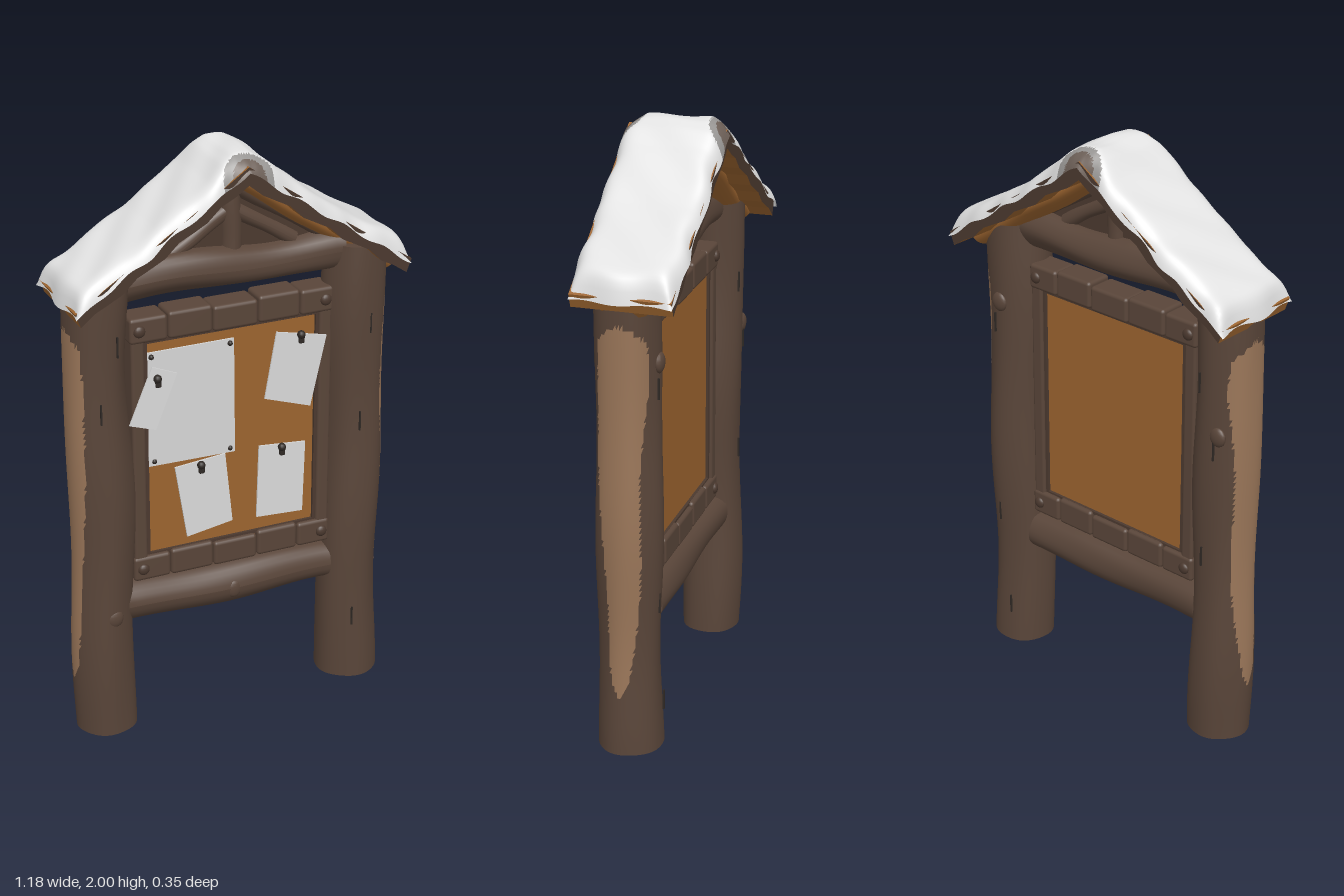
import * as THREE from 'three';
import { RoundedBoxGeometry } from 'three/addons/geometries/RoundedBoxGeometry.js';

const mat = (name, color, side = THREE.FrontSide) => {
  const m = new THREE.MeshStandardMaterial({ color, side });
  m.name = name;
  return m;
};

// piecewise curve through [x, y] points
function curveAt(points, x) {
  for (let i = 1; i < points.length; i++) {
    const [x0, y0] = points[i - 1], [x1, y1] = points[i];
    if (x <= x1) return y0 + ((y1 - y0) * (x - x0)) / (x1 - x0);
  }
  return points[points.length - 1][1];
}

// sort triangles into material groups by their centre
function splitFaces(geo, count, pick) {
  const p = geo.attributes.position, idx = geo.index.array;
  const lists = Array.from({ length: count }, () => []);
  const c = new THREE.Vector3(), v = new THREE.Vector3();
  for (let i = 0; i < idx.length; i += 3) {
    c.set(0, 0, 0);
    for (let k = 0; k < 3; k++) c.add(v.fromBufferAttribute(p, idx[i + k]));
    lists[pick(c.divideScalar(3))].push(idx[i], idx[i + 1], idx[i + 2]);
  }
  geo.setIndex(lists.flat());
  geo.clearGroups();
  let start = 0;
  lists.forEach((l, i) => { geo.addGroup(start, l.length, i); start += l.length; });
  return geo;
}

// uneven round log standing on the y axis, centred
function logGeometry(length, radius, seed, wobble = 0.06, around = 28, rows = 24) {
  const geo = new THREE.CylinderGeometry(radius, radius, length, around, rows);
  const p = geo.attributes.position;
  for (let i = 0; i < p.count; i++) {
    const x = p.getX(i), y = p.getY(i), z = p.getZ(i), a = Math.atan2(z, x);
    const t = y / radius;
    const k = 1 + wobble * (0.5 * Math.sin(t * 0.9 + seed) + 0.4 * Math.sin(2 * a + t * 0.6 + seed * 2)
      + 0.25 * Math.sin(5 * a + seed + 0.3 * t));
    p.setX(i, x * k + radius * wobble * Math.sin(t * 0.7 + seed * 3));
    p.setZ(i, z * k + radius * wobble * 0.6 * Math.cos(t * 0.6 + seed));
  }
  geo.computeVertexNormals();
  return geo;
}

export function createModel() {
  const bark = mat('bark', 0x594539);
  const darkBark = mat('dark bark', 0x4b392f);
  const bareWood = mat('bare wood', 0x9a7659);
  const board = mat('cut wood', 0x9c642f);
  const snow = mat('snow', 0xe2e2e2, THREE.DoubleSide);
  const thinSnow = mat('thin snow', 0x969492, THREE.DoubleSide);
  const wetWood = mat('wet wood', 0x6c5f57, THREE.DoubleSide);
  const paper = mat('paper', 0xd6d6d6);
  const iron = mat('iron', 0x2f2925);

  const model = new THREE.Group();
  const add = (name, geo, material, x = 0, y = 0, z = 0, rz = 0) => {
    const mesh = new THREE.Mesh(geo, material);
    mesh.name = name;
    mesh.position.set(x, y, z);
    mesh.rotation.z = rz;
    model.add(mesh);
    return mesh;
  };
  // log between two points in the front plane
  const beam = (name, a, b, z, r, seed, material = bark, wobble = 0.06) => {
    const dx = b[0] - a[0], dy = b[1] - a[1];
    return add(name, logGeometry(Math.hypot(dx, dy), r, seed, wobble), material,
      (a[0] + b[0]) / 2, (a[1] + b[1]) / 2, z, Math.atan2(dy, dx) - Math.PI / 2);
  };

  // posts with a stripped patch on the outer side
  const patchWidth = [[0.2, 0], [0.26, 0.03], [0.4, 0.045], [0.7, 0.062], [1.0, 0.07], [1.3, 0.08], [1.42, 0.075], [1.46, 0.03], [1.47, 0]];
  for (const side of [-1, 1]) {
    const geo = logGeometry(1.62, 0.104, side + 1.5, 0.06, 64, 80);
    splitFaces(geo, 2, (c) => {
      const y = c.y + 0.81;
      const inside = y > 0.2 && y < 1.47 && c.x * side > 0
        && Math.abs(c.z - 0.006 * Math.sin(y * 8)) < curveAt(patchWidth, y);
      return inside ? 1 : 0;
    });
    add(side > 0 ? 'leftPost' : 'rightPost', geo, [bark, bareWood], side * 0.455 - 0.01, 0.81, 0.02);
  }

  // cross logs
  beam('topBeam', [-0.4, 1.6], [0.38, 1.595], 0.02, 0.068, 2.2, bark, 0.1);
  beam('bottomBeam', [-0.4, 0.46], [0.35, 0.45], 0.02, 0.075, 0.6, bark);

  // knots on the logs
  const knot = new THREE.SphereGeometry(0.026, 14, 10);
  for (const [x, y, z] of [[-0.015, 0.445, 0.085], [0.44, 1.33, -0.08], [-0.46, 0.45, 0.115], [-0.5, 1.15, -0.075]]) {
    add('knot', knot, bark, x, y, z).scale.set(1.2, 1.3, 0.6);
  }

  // narrow cracks in the bark of the posts
  const crack = new THREE.BoxGeometry(0.005, 0.07, 0.006);
  for (const [x, y] of [[-0.48, 0.35], [-0.45, 0.8], [-0.49, 1.2], [-0.43, 1.42], [0.42, 0.25], [0.46, 0.62], [0.43, 1.0], [0.46, 1.35]]) {
    add('barkCrack', crack, iron, x, y, 0.122);
    add('barkCrack', crack, iron, x, y - 0.1, -0.083);
  }

  // notice board and its frame
  add('noticeBoard', new THREE.BoxGeometry(0.63, 0.79, 0.05), board, -0.005, 1.005, 0.02);
  const joints = [-0.368, -0.235, -0.08, 0.08, 0.23, 0.352];
  for (const y of [1.436, 0.583]) {
    for (let i = 0; i < 5; i++) {
      const w = joints[i + 1] - joints[i];
      add('frameRailBlock', new RoundedBoxGeometry(w - 0.003, 0.087 + 0.006 * (i % 2), 0.1, 2, 0.012), bark,
        (joints[i] + joints[i + 1]) / 2, y + 0.003 * Math.sin(i * 2.4), 0.02);
    }
    for (const x of [-0.335, 0.32]) {
      for (const z of [0.07, -0.03]) add('frameBolt', new THREE.SphereGeometry(0.02, 14, 10), darkBark, x, y, z).scale.z = 0.6;
    }
  }
  for (const side of [-1, 1]) {
    add('frameStile', new RoundedBoxGeometry(0.046, 0.8, 0.09, 2, 0.01), bark, side * 0.332 - 0.007, 1.01, 0.02);
    add('frameLip', new THREE.BoxGeometry(0.012, 0.77, 0.07), darkBark, side * 0.304 - 0.006, 1.005, 0.02);
    add('frameLip', new THREE.BoxGeometry(0.61, 0.012, 0.07), darkBark, -0.006, 1.008 + side * 0.382, 0.02);
  }

  // pinned notes, each given by its corners, hanging slightly forward
  const notes = [
    [[[-0.305, 1.35], [0, 1.35], [0.002, 0.945], [-0.305, 0.95]], 0.046, 0.01],
    [[[-0.3, 1.315], [-0.215, 1.28], [-0.295, 1.1], [-0.385, 1.13]], 0.08, 0.06],
    [[[0.14, 1.355], [0.32, 1.315], [0.26, 1.075], [0.095, 1.13]], 0.072, 0.04],
    [[[-0.215, 0.93], [-0.035, 0.945], [-0.015, 0.7], [-0.18, 0.675]], 0.055, 0.06],
    [[[0.09, 0.945], [0.26, 0.93], [0.245, 0.68], [0.075, 0.69]], 0.05, 0.06],
  ];
  for (const [corners, z, lean] of notes) {
    const shape = new THREE.Shape(corners.map(([x, y]) => new THREE.Vector2(x, y)));
    const geo = new THREE.ExtrudeGeometry(shape, { depth: 0.006, bevelEnabled: false });
    const p = geo.attributes.position;
    for (let i = 0; i < p.count; i++) p.setZ(i, p.getZ(i) + z + (corners[0][1] - p.getY(i)) * lean);
    geo.computeVertexNormals();
    add('note', geo, paper);
  }
  for (const [x, y, z] of [[-0.285, 1.275, 0.093], [0.225, 1.335, 0.085], [-0.125, 0.925, 0.068], [0.17, 0.93, 0.064]]) {
    add('pinHead', new THREE.SphereGeometry(0.014, 12, 8), iron, x, y, z);
    add('pinClip', new RoundedBoxGeometry(0.02, 0.04, 0.014, 2, 0.005), iron, x + 0.003, y - 0.012, z - 0.004);
  }
  for (const [x, y] of [[-0.29, 1.335], [-0.015, 1.335], [-0.285, 0.965], [-0.015, 0.96]]) {
    add('smallPin', new THREE.SphereGeometry(0.009, 10, 8), iron, x, y, 0.054);
  }

  // gable infill, king post and braces
  const gable = new THREE.Shape([[-0.38, 1.62], [0.38, 1.62], [0, 1.89]].map(([x, y]) => new THREE.Vector2(x, y)));
  add('gablePanel', new THREE.ExtrudeGeometry(gable, { depth: 0.02, bevelEnabled: false }), darkBark, 0, 0, 0.01);
  beam('kingPost', [0, 1.63], [0, 1.91], 0.02, 0.034, 1.1);
  for (const s of [-1, 1]) {
    beam('upperBrace', [s * 0.37, 1.64], [s * 0.01, 1.87], 0.02, 0.035, 2 + s);
    beam('lowerBrace', [s * 0.22, 1.65], [s * 0.01, 1.78], 0.02, 0.026, 4 + s);
  }

  // roof slabs: bark on the front and back edges, cut wood below
  for (const s of [-1, 1]) {
    const pts = [[0, 1.96], [0.58, 1.57], [0.563, 1.525]];
    for (let i = 1; i < 12; i++) {
      const x = 0.563 * (1 - i / 12);
      pts.push([x, 1.9 - 0.666 * x + 0.008 * Math.sin(i * 2.1 + s)]);
    }
    pts.push([0, 1.9]);
    const shape = new THREE.Shape(pts.map(([x, y]) => new THREE.Vector2(s * x, y)));
    add('roofSlab', new THREE.ExtrudeGeometry(shape, { depth: 0.325, bevelEnabled: false }), [darkBark, board], 0, 0, -0.1625);
    const ridgeLog = beam('rafter', [s * 0.005, 1.9], [s * 0.553, 1.535], 0, 0.045, 3, board, 0.04);
    ridgeLog.scale.z = 1.9;
  }

  // snow blanket, worn thin at both ends of the ridge
  const snowTop = [[0, 1.993], [0.03, 1.99], [0.07, 1.968], [0.12, 1.922], [0.2, 1.862], [0.3, 1.79], [0.4, 1.728], [0.5, 1.67], [0.56, 1.638], [0.6, 1.615]];
  const geo = new THREE.PlaneGeometry(2, 2, 140, 48).rotateX(-Math.PI / 2);
  const p = geo.attributes.position;
  for (let i = 0; i < p.count; i++) {
    const u = p.getX(i), w = Math.sin(p.getZ(i) * Math.PI / 2);
    const x = u * (0.583 + 0.006 * Math.sin(w * 5 + 1));
    const z = w * (0.169 + 0.004 * Math.sin(x * 31) + 0.002 * Math.sin(x * 57 + 2));
    const ax = Math.abs(x), low = 1.942 - 0.667 * ax + 0.006 * Math.sin(x * 43);
    const lumps = 0.006 * Math.sin(x * 24 + w * 2) * Math.cos(w * 3 + x * 9);
    const notch = 0.03 * Math.max(0, 1 - Math.hypot(x / 0.09, (Math.abs(z) - 0.172) / 0.07));
    const full = (1 - Math.abs(w) ** 10) * (1 - Math.abs(u) ** 50);
    p.setXYZ(i, x, low + (curveAt(snowTop, ax) + lumps - notch - low) * full, z);
  }
  geo.computeVertexNormals();
  splitFaces(geo, 3, (c) => {
    const d = Math.hypot(c.x / 0.085, (Math.abs(c.z) - 0.172) / 0.065);
    return d < 0.66 ? 2 : d < 1 ? 1 : 0;
  });
  add('roofSnow', geo, [snow, thinSnow, wetWood]);

  return model;
}
